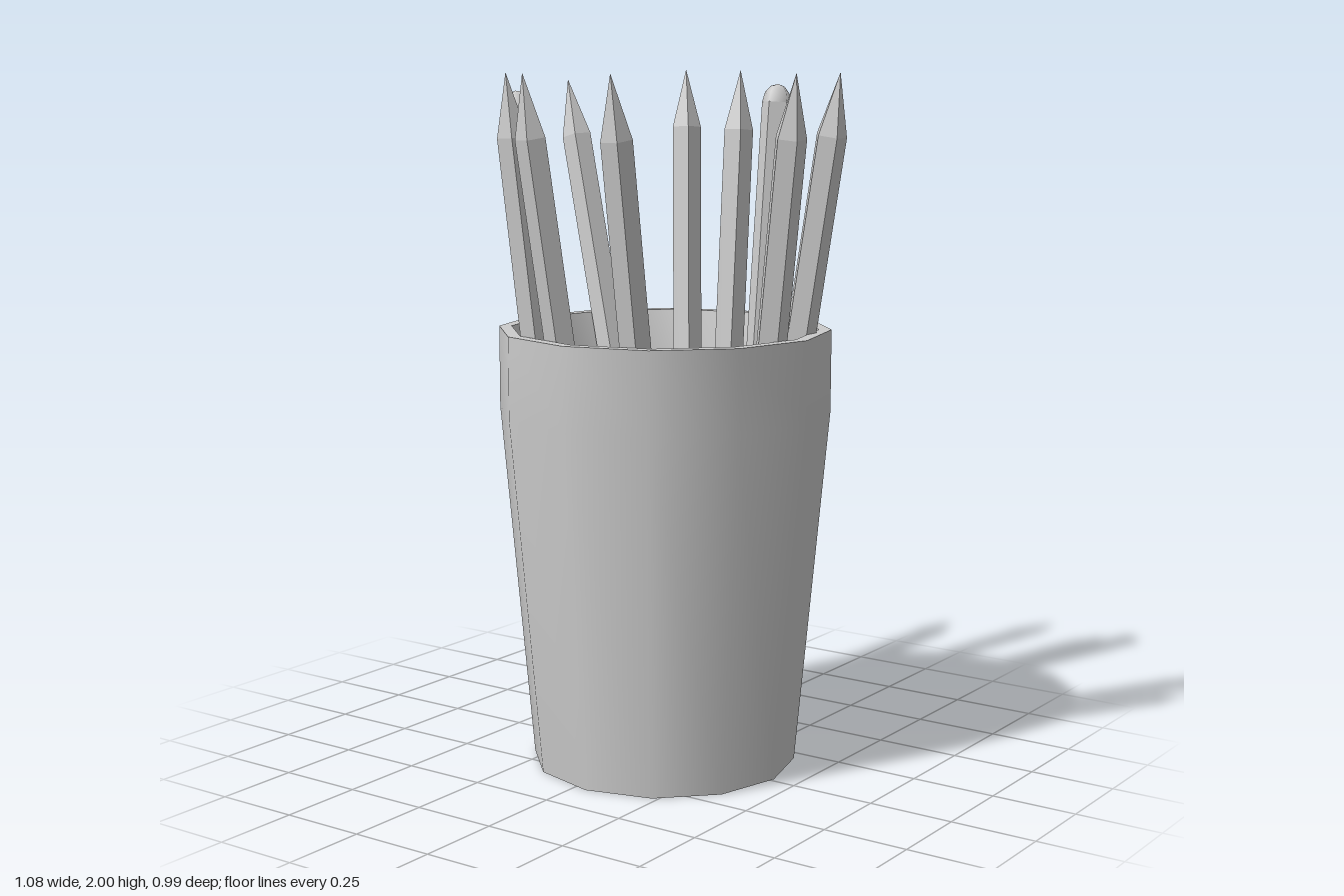
import * as THREE from 'three';
import { toCreasedNormals } from 'three/addons/utils/BufferGeometryUtils.js';

const R = 0.045; // pencil radius
const FLOOR = 0.07; // height of the cup's inner floor

const points = (list) => list.map(([x, y]) => new THREE.Vector2(x, y));

// Five-sided turned form with flat faces
function facetedLathe(profile) {
  const g = new THREE.LatheGeometry(points(profile), 5).toNonIndexed();
  g.computeVertexNormals();
  return g;
}

// Foot x, z; top x, y, z; twist about the pencil's own axis; rounded end or sharpened
const PENCILS = [
  { foot: [-0.12, -0.02], top: [-0.505, 1.94, -0.02], twist: 0, round: true },
  { foot: [0.138, -0.26], top: [0.133, 1.96, -0.465], twist: 0, round: true },
  { foot: [-0.02, -0.225], top: [-0.19, 2.0, -0.455], twist: 0.1 },
  { foot: [0.0, -0.12], top: [-0.5, 1.97, -0.27], twist: 0.5 },
  { foot: [0.085, -0.2], top: [0.043, 2.0, -0.4], twist: 0.55 },
  { foot: [0.22, -0.142], top: [0.537, 2.0, -0.14], twist: 0 },
  { foot: [0.255, -0.057], top: [0.535, 2.0, 0.085], twist: 0.5 },
  { foot: [0.187, 0.155], top: [0.2, 2.0, 0.46], twist: 0 },
  { foot: [0.02, 0.185], top: [-0.08, 2.0, 0.475], twist: 0.1 },
  { foot: [-0.08, 0.22], top: [-0.19, 2.0, 0.41], twist: 0.5 },
];

function makePencil({ foot, top, twist, round }, material) {
  const pencil = new THREE.Group();
  pencil.name = round ? 'roundedPencil' : 'sharpenedPencil';
  const start = new THREE.Vector3(foot[0], FLOOR, foot[1]);
  const axis = new THREE.Vector3(...top).sub(start);
  const length = axis.length();
  axis.normalize();

  const shoulder = length - (round ? 0.055 : 0.175);
  const profile = [[0, 0], [R, 0], [R, shoulder]];
  if (!round) profile.push([0, length]);
  const body = new THREE.Mesh(facetedLathe(profile), material);
  body.name = 'pencilBody';
  body.rotation.y = twist;
  pencil.add(body);

  // Smooth domed end
  if (round) {
    const dome = new THREE.Mesh(
      new THREE.LatheGeometry(points([[R, 0], [0.038, 0.03], [0.022, 0.048], [0, 0.055]]), 5),
      material
    );
    dome.name = 'pencilEraser';
    dome.position.y = shoulder;
    dome.rotation.y = twist;
    pencil.add(dome);
  }

  // Lean the pencil outward with one ridge facing inward
  const inward = new THREE.Vector3(-axis.x, 0, -axis.z);
  inward.addScaledVector(axis, -inward.dot(axis)).normalize();
  const side = new THREE.Vector3().crossVectors(axis, inward);
  pencil.quaternion.setFromRotationMatrix(new THREE.Matrix4().makeBasis(side, axis, inward));
  pencil.position.copy(start);
  return pencil;
}

export function createModel() {
  const model = new THREE.Group();
  model.name = 'pencilCup';
  const grey = new THREE.MeshStandardMaterial({ color: 0xcccccc });
  grey.name = 'plainGrey';

  // Twelve-sided cup: underside, outer wall, rim, inner wall, floor
  const cupProfile = points([
    [0, 0], [0.385, 0], [0.478, 1.04], [0.478, 1.275],
    [0.442, 1.275], [0.39, 1.04], [0.34, FLOOR], [0, FLOOR],
  ]);
  const cup = new THREE.Mesh(
    toCreasedNormals(new THREE.LatheGeometry(cupProfile, 12), 0.65),
    grey
  );
  cup.name = 'cup';
  cup.position.set(0.04, 0, -0.013);
  model.add(cup);

  for (const p of PENCILS) model.add(makePencil(p, grey));
  return model;
}
